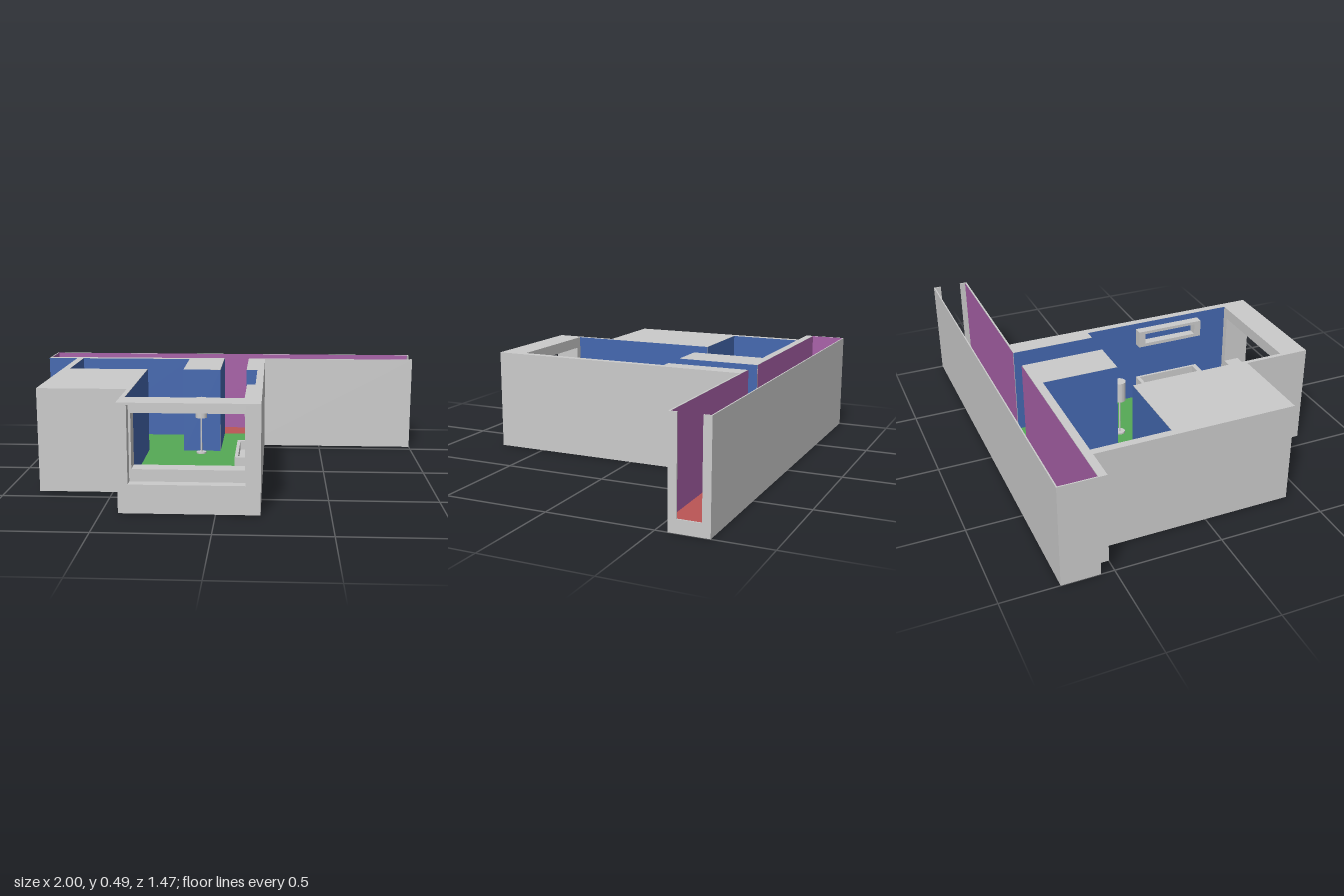
import * as THREE from 'three';

const FLOOR = 0.06, TOP = 0.49, EPS = 0.002;
const mat = (color) => new THREE.MeshStandardMaterial({ color, flatShading: true });
const GREY = mat(0xcccccc), BLUE = mat(0x4468b0), PURPLE = mat(0xa860a8);
const GREEN = mat(0x55aa55), RED = mat(0xbb5555);

export function createModel() {
  const model = new THREE.Group();
  const add = (name, geometry, material = GREY, parent = model) => {
    const mesh = new THREE.Mesh(geometry, material);
    mesh.name = name;
    parent.add(mesh);
    return mesh;
  };
  const group = (name) => {
    const g = new THREE.Group();
    g.name = name;
    model.add(g);
    return g;
  };
  // Box given by its two extreme corners
  const box = (name, x0, x1, y0, y1, z0, z1, parent = model) =>
    add(name, new THREE.BoxGeometry(x1 - x0, y1 - y0, z1 - z0)
      .translate((x0 + x1) / 2, (y0 + y1) / 2, (z0 + z1) / 2), GREY, parent);
  // Plan outline of [x, z] points, raised from y0 to y1
  const planShape = (pts) => new THREE.Shape(pts.map(([x, z]) => new THREE.Vector2(x, -z)));
  const raise = (name, pts, y0, y1) =>
    add(name, new THREE.ExtrudeGeometry(planShape(pts), { depth: y1 - y0, bevelEnabled: false })
      .rotateX(-Math.PI / 2).translate(0, y0, 0));
  // Flat floor finish
  const cover = (name, pts, material) =>
    add(name, new THREE.ShapeGeometry(planShape(pts)).rotateX(-Math.PI / 2)
      .translate(0, FLOOR + EPS, 0), material);
  // Painted wall faces along a plan path
  const paint = (name, pts, material) => {
    const g = group(name);
    for (let i = 0; i + 1 < pts.length; i++) {
      const [ax, az] = pts[i], [bx, bz] = pts[i + 1];
      const len = Math.hypot(bx - ax, bz - az);
      const nx = -(bz - az) / len, nz = (bx - ax) / len;
      const face = add(name + 'Face', new THREE.PlaneGeometry(len, TOP - FLOOR), material, g);
      face.rotation.y = Math.atan2(nx, nz);
      face.position.set((ax + bx) / 2 + nx * EPS, (TOP + FLOOR) / 2, (az + bz) / 2 + nz * EPS);
    }
  };
  // Rectangular ring facing z
  const rect = (P, x0, x1, y0, y1) => new P([[x0, y0], [x1, y0], [x1, y1], [x0, y1]]
    .map(([x, y]) => new THREE.Vector2(x, y)));
  const ring = (outer, inner, depth) => {
    const s = rect(THREE.Shape, ...outer);
    s.holes.push(rect(THREE.Path, ...inner));
    return new THREE.ExtrudeGeometry(s, { depth, bevelEnabled: false });
  };

  // Base slab under rooms and corridor
  raise('baseSlab', [[-1, -0.737], [1, -0.737], [1, -0.555], [0.195, -0.555], [0.195, 0.737],
    [-0.425, 0.737], [-0.425, 0.415], [-0.845, 0.415], [-0.845, -0.56], [-1, -0.56]], 0, FLOOR);

  // Thick room walls, including the solid blocks
  const westInner = [[-0.405, 0.605], [-0.405, -0.16], [-0.81, -0.16], [-0.81, -0.525],
    [-0.22, -0.525], [-0.22, -0.16], [-0.03, -0.16], [-0.03, -0.563]];
  const eastInner = [[0.105, -0.563], [0.105, -0.16], [0.16, -0.16], [0.16, 0.605]];
  raise('westWalls', [...westInner, [-1, -0.563], [-1, -0.525], [-0.845, -0.525],
    [-0.845, 0.415], [-0.425, 0.415], [-0.425, 0.605]], FLOOR, TOP);
  raise('eastWall', [...eastInner, [0.195, 0.605], [0.195, -0.563]], FLOOR, TOP);

  // Front wall with a recessed window frame
  add('frontWall', ring([-0.425, 0.195, FLOOR, TOP], [-0.38, 0.13, 0.13, 0.48], 0.132)
    .translate(0, 0, 0.605));
  add('windowFrame', ring([-0.38, 0.13, 0.13, 0.48], [-0.37, 0.125, 0.185, 0.435], 0.08)
    .translate(0, 0, 0.605));

  // Thin corridor walls and the jambs at its open end
  box('corridorBackWall', -1, 1, FLOOR, TOP, -0.737, -0.731);
  box('corridorFrontWall', 0.195, 1, FLOOR, TOP, -0.563, -0.555);
  box('corridorEndWall', -1, -0.994, FLOOR, TOP, -0.731, -0.563);
  box('backJamb', 0.994, 1, FLOOR, TOP, -0.731, -0.7);
  box('frontJamb', 0.994, 1, FLOOR, TOP, -0.593, -0.563);

  // Floor finishes
  cover('roomFloor', [...westInner, ...eastInner], GREEN);
  cover('corridorFloor', [[-0.994, -0.731], [0.998, -0.731], [0.998, -0.563], [-0.994, -0.563]], RED);

  // Wall paint
  paint('westPaint', westInner, BLUE);
  paint('eastPaint', eastInner, BLUE);
  paint('outerPaint', [[-1, -0.525], [-0.845, -0.525]], BLUE);
  paint('corridorPaint', [[0.994, -0.563], [0.105, -0.563]], PURPLE);
  paint('corridorPaint', [[-0.03, -0.563], [-0.994, -0.563], [-0.994, -0.731], [0.994, -0.731]], PURPLE);

  // Counter with a shallow basin against the east wall
  const counter = group('counter');
  box('counterBody', 0.07, 0.16, FLOOR, 0.14, 0.1, 0.445, counter);
  box('counterFrontRim', 0.07, 0.085, 0.14, 0.183, 0.1, 0.445, counter);
  box('counterBackRim', 0.145, 0.16, 0.14, 0.183, 0.1, 0.445, counter);
  for (const [z0, z1] of [[0.1, 0.118], [0.422, 0.445]])
    box('counterSideRim', 0.085, 0.145, 0.14, 0.183, z0, z1, counter);

  // Open wall shelf above the counter
  add('wallShelf', ring([-0.445, -0.1, 0.375, 0.46], [-0.41, -0.135, 0.392, 0.445], 0.045)
    .rotateY(Math.PI / 2).translate(0.115, 0, 0));

  // Standing lamp beside the inner block
  const lamp = group('lamp');
  const turned = (name, r, y0, y1) => add(name, new THREE.CylinderGeometry(r, r, y1 - y0, 24)
    .translate(-0.125, (y0 + y1) / 2, -0.11), GREY, lamp);
  turned('lampFoot', 0.025, FLOOR, 0.07);
  turned('lampStem', 0.004, 0.07, 0.25);
  turned('lampShade', 0.03, 0.25, 0.352);

  return model;
}
